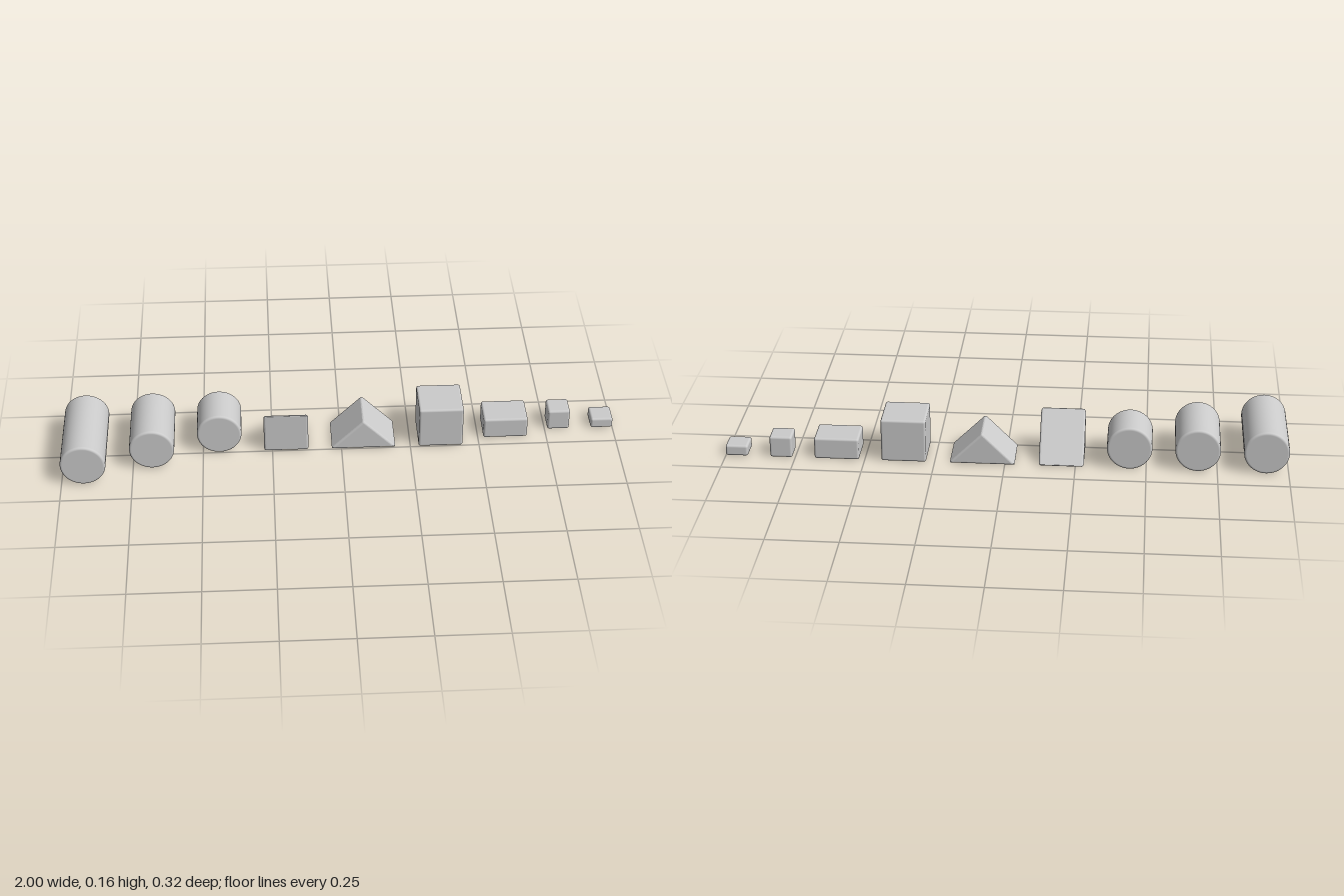
import * as THREE from 'three';
import { RoundedBoxGeometry } from 'three/addons/geometries/RoundedBoxGeometry.js';
import { ConvexGeometry } from 'three/addons/geometries/ConvexGeometry.js';

const BEVEL = 0.008;
const BACK = -0.16; // all blocks line up along their back faces
const STEPS = 6;

// Cylinder lying along z with rounded rims
function rodGeometry(radius, length) {
  const h = length / 2, points = [new THREE.Vector2(0, -h), new THREE.Vector2(radius - BEVEL - 0.001, -h)];
  for (const end of [-1, 1]) {
    for (let i = 0; i <= STEPS; i++) {
      const t = (end < 0 ? STEPS - i : i) / STEPS * Math.PI / 2;
      points.push(new THREE.Vector2(
        radius - BEVEL + BEVEL * Math.cos(t),
        end * (h - BEVEL + BEVEL * Math.sin(t))));
    }
    if (end < 0) {
      points.push(new THREE.Vector2(radius, -h + BEVEL + 0.001), new THREE.Vector2(radius, h - BEVEL - 0.001));
    }
  }
  points.push(new THREE.Vector2(radius - BEVEL - 0.001, h), new THREE.Vector2(0, h));
  return new THREE.LatheGeometry(points, 64).rotateX(Math.PI / 2);
}

// Triangular prism along z, all edges softened
function prismGeometry(corners, length) {
  const points = [];
  corners.forEach((p, k) => {
    const u = corners[(k + 1) % 3].clone().sub(p).normalize();
    const v = corners[(k + 2) % 3].clone().sub(p).normalize();
    const angle = Math.acos(u.dot(v));
    const bisector = u.clone().add(v);
    for (let j = 0; j <= STEPS; j++) {
      const t = j / STEPS * Math.PI / 2;
      const z = length / 2 - BEVEL + BEVEL * Math.sin(t);
      const inset = BEVEL * (1 - Math.cos(t));
      const corner = p.clone().addScaledVector(bisector, inset / Math.sin(angle));
      const add = q => points.push(new THREE.Vector3(q.x, q.y, z), new THREE.Vector3(q.x, q.y, -z));
      if (j === STEPS) { add(corner); continue; }
      // fillet arc between the two edges of this corner
      const reach = BEVEL * Math.cos(t);
      const centre = corner.clone().addScaledVector(bisector.clone().normalize(), reach / Math.cos(angle / 2));
      const a = corner.clone().addScaledVector(u, reach).sub(centre);
      const b = corner.clone().addScaledVector(v, reach).sub(centre);
      for (let i = 0; i <= STEPS; i++) {
        add(a.clone().lerp(b, i / STEPS).setLength(reach * Math.tan(angle / 2)).add(centre));
      }
    }
  });
  return new ConvexGeometry(points);
}

export function createModel() {
  const group = new THREE.Group();
  group.name = 'toyBlocks';
  const material = new THREE.MeshStandardMaterial({ color: 0xcccccc });
  const place = (name, geometry, x, y, depth) => {
    const mesh = new THREE.Mesh(geometry, material);
    mesh.name = name;
    mesh.position.set(x, y, BACK + depth / 2);
    group.add(mesh);
  };

  // Three cylinders of decreasing length
  [['longCylinder', -0.92, 0.32], ['mediumCylinder', -0.68, 0.24], ['shortCylinder', -0.44, 0.16]]
    .forEach(([name, x, length]) => place(name, rodGeometry(0.08, length), x, 0.08, length));

  // Ramp: upright face to the front, slope falling to the back
  const V = (x, y) => new THREE.Vector2(x, y);
  const ramp = prismGeometry([V(-0.08, 0), V(0.08, 0), V(-0.08, 0.16)], 0.16).rotateY(Math.PI / 2);
  place('rampBlock', ramp, -0.2, 0, 0.16);

  // Roof with its ridge along z
  place('roofBlock', prismGeometry([V(-0.12, 0), V(0.12, 0), V(0, 0.12)], 0.16), 0.08, 0, 0.16);

  // Box blocks: name, x, width, height, depth
  [
    ['largeCube', 0.36, 0.16, 0.16, 0.16],
    ['brick', 0.6, 0.16, 0.08, 0.12],
    ['smallCube', 0.8, 0.08, 0.08, 0.08],
    ['flatTile', 0.96, 0.08, 0.04, 0.08],
  ].forEach(([name, x, w, h, d]) => place(name, new RoundedBoxGeometry(w, h, d, 4, BEVEL), x, h / 2, d));

  return group;
}
